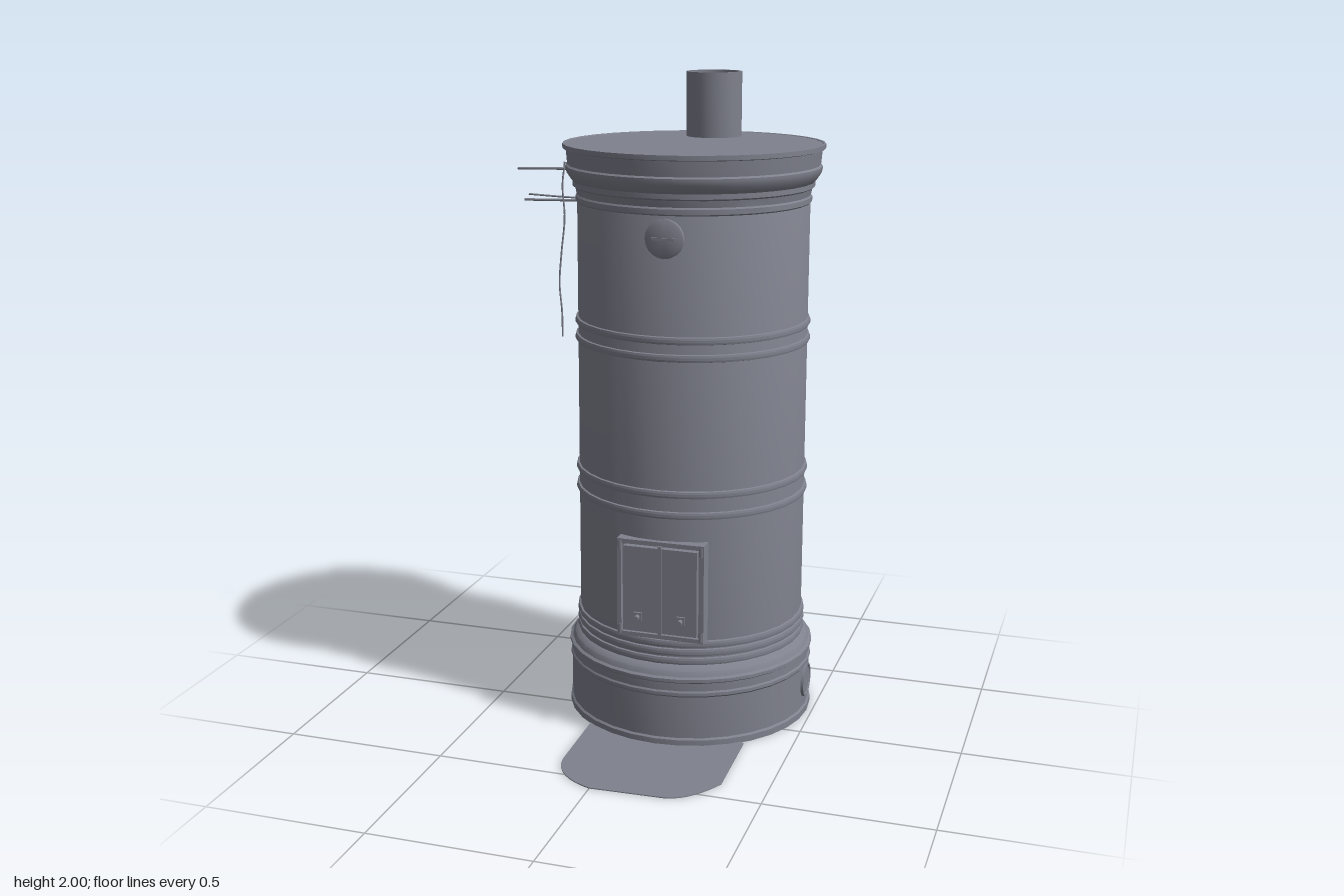
import * as THREE from 'three';
import { toCreasedNormals } from 'three/addons/utils/BufferGeometryUtils.js';

const CX = 0.093, CZ = -0.165; // stove axis

export function createModel() {
  const model = new THREE.Group();
  const iron = new THREE.MeshStandardMaterial({ color: 0x7f818d });
  iron.name = 'cast iron grey';

  const add = (name, geometry, x = 0, y = 0, z = 0, parent = model) => {
    const mesh = new THREE.Mesh(geometry, iron);
    mesh.name = name;
    mesh.position.set(x, y, z);
    parent.add(mesh);
    return mesh;
  };
  const lathe = (points, sides) => toCreasedNormals(
    new THREE.LatheGeometry(points.map(([r, y]) => new THREE.Vector2(r, y)), sides), 0.5);
  const box = (name, w, h, d, x, y, z, parent) =>
    add(name, new THREE.BoxGeometry(w, h, d), x, y, z, parent);
  const tube = (name, pts, radius, segments = 4) => add(name, new THREE.TubeGeometry(
    new THREE.CatmullRomCurve3(pts.map((p) => new THREE.Vector3(...p))), segments, radius, 6));

  // Wide plinth with rounded shoulder
  add('base', lathe([
    [0, 0], [0.39, 0], [0.39, 0.02], [0.384, 0.025], [0.384, 0.16], [0.388, 0.165], [0.388, 0.175],
    [0.384, 0.18], [0.384, 0.205], [0.391, 0.21], [0.391, 0.22], [0.382, 0.225], [0.375, 0.24],
    [0.362, 0.25], [0.35, 0.255],
  ], 32), CX, 0, CZ);

  // Straight drum
  add('body', lathe([[0.35, 0.25], [0.355, 0.255], [0.355, 1.64], [0.35, 1.65]], 32), CX, 0, CZ);

  // Paired raised hoops around the drum
  const hoop = lathe([
    [0.354, -0.012], [0.361, -0.01], [0.364, -0.004], [0.364, 0.004], [0.361, 0.01], [0.354, 0.012],
  ], 32);
  for (const y of [0.267, 0.295, 0.322, 0.73, 0.795, 1.21, 1.262]) add('hoop', hoop, CX, y, CZ);

  // Stepped cornice and flat lid
  add('cornice', lathe([
    [0.354, 1.625], [0.36, 1.63], [0.36, 1.645], [0.356, 1.65], [0.36, 1.67], [0.368, 1.675],
    [0.368, 1.69], [0.374, 1.697], [0.386, 1.715], [0.39, 1.73], [0.39, 1.735], [0.384, 1.74],
    [0.388, 1.785], [0.398, 1.788], [0.398, 1.802], [0.392, 1.802], [0.39, 1.8], [0, 1.8],
  ], 32), CX, 0, CZ);

  // Open flue pipe
  add('fluePipe', lathe([
    [0.087, 1.795], [0.087, 2], [0.08, 2], [0.08, 1.802], [0, 1.802],
  ], 24), 0.087, 0, -0.41);

  // Round vent cover on the front
  const cover = new THREE.Group();
  cover.name = 'ventCover';
  model.add(cover);
  const disc = add('ventDisc', lathe([
    [0.058, 0], [0.058, 0.014], [0.05, 0.018], [0, 0.02],
  ], 20), 0.11, 1.56, 0.181, cover);
  disc.rotation.x = Math.PI / 2;
  box('ventHandle', 0.07, 0.008, 0.006, 0.11, 1.56, 0.202, cover);

  // Cleaning hatches on both sides of the base
  for (const side of [1, -1]) {
    const hatch = add('sideHatch', lathe([
      [0.054, 0], [0.054, 0.009], [0.047, 0.009], [0.045, 0.006], [0, 0.006],
    ], 20), CX + side * 0.38, 0.105, CZ);
    hatch.rotation.z = -side * Math.PI / 2;
  }

  // Double fire door
  const door = new THREE.Group();
  door.name = 'fireDoor';
  model.add(door);
  const dx = 0.104, dy = 0.494;
  box('doorBacking', 0.25, 0.29, 0.04, dx, dy, 0.17, door);
  for (const s of [1, -1]) {
    box('frameSide', 0.013, 0.31, 0.055, dx + s * 0.13, dy, 0.178, door);
    box('frameRail', 0.27, 0.013, 0.055, dx, dy + s * 0.148, 0.178, door);
    box('doorLeaf', 0.112, 0.27, 0.03, dx + s * 0.06, dy, 0.195, door);
    box('knobPlate', 0.026, 0.026, 0.008, dx + s * 0.068, 0.408, 0.213, door);
    const knob = add('knob', new THREE.CylinderGeometry(0.009, 0.007, 0.022, 10),
      dx + s * 0.068, 0.408, 0.226, door);
    knob.rotation.x = Math.PI / 2;
    for (const y of [-1, 1]) {
      add('hinge', new THREE.CylinderGeometry(0.008, 0.008, 0.03, 8),
        dx + s * 0.128, dy + y * 0.135, 0.2, door);
    }
  }
  box('doorSeam', 0.012, 0.285, 0.012, dx, dy, 0.207, door);

  // Damper rods with their small ties
  tube('upperRod', [[-0.25, 1.702, -0.238], [-0.495, 1.7, -0.198]], 0.004);
  tube('upperHook', [[-0.27, 1.705, -0.235], [-0.3, 1.715, -0.23], [-0.35, 1.72, -0.222]], 0.003);
  tube('lowerRod', [[-0.25, 1.602, -0.238], [-0.475, 1.602, -0.2]], 0.004);
  tube('lowerHook', [[-0.25, 1.608, -0.236], [-0.36, 1.613, -0.218], [-0.46, 1.62, -0.2]], 0.003);

  // Hanging pull cord
  tube('pullCord', [
    [-0.345, 1.72, -0.22], [-0.35, 1.65, -0.21], [-0.342, 1.55, -0.205], [-0.352, 1.44, -0.2],
    [-0.358, 1.34, -0.195], [-0.347, 1.25, -0.185], [-0.344, 1.17, -0.18],
  ], 0.003, 24);

  // Thin hearth plate on the floor
  const plate = new THREE.Shape();
  plate.moveTo(-0.145, -0.1);
  plate.lineTo(-0.138, -0.41);
  plate.bezierCurveTo(-0.13, -0.49, -0.07, -0.54, 0, -0.562);
  plate.lineTo(0.23, -0.553);
  plate.bezierCurveTo(0.29, -0.54, 0.33, -0.48, 0.36, -0.42);
  plate.lineTo(0.354, -0.14);
  plate.lineTo(0.3, -0.1);
  const hearth = add('hearthPlate',
    new THREE.ExtrudeGeometry(plate, { depth: 0.003, bevelEnabled: false, curveSegments: 8 }));
  hearth.rotation.x = -Math.PI / 2;

  return model;
}
